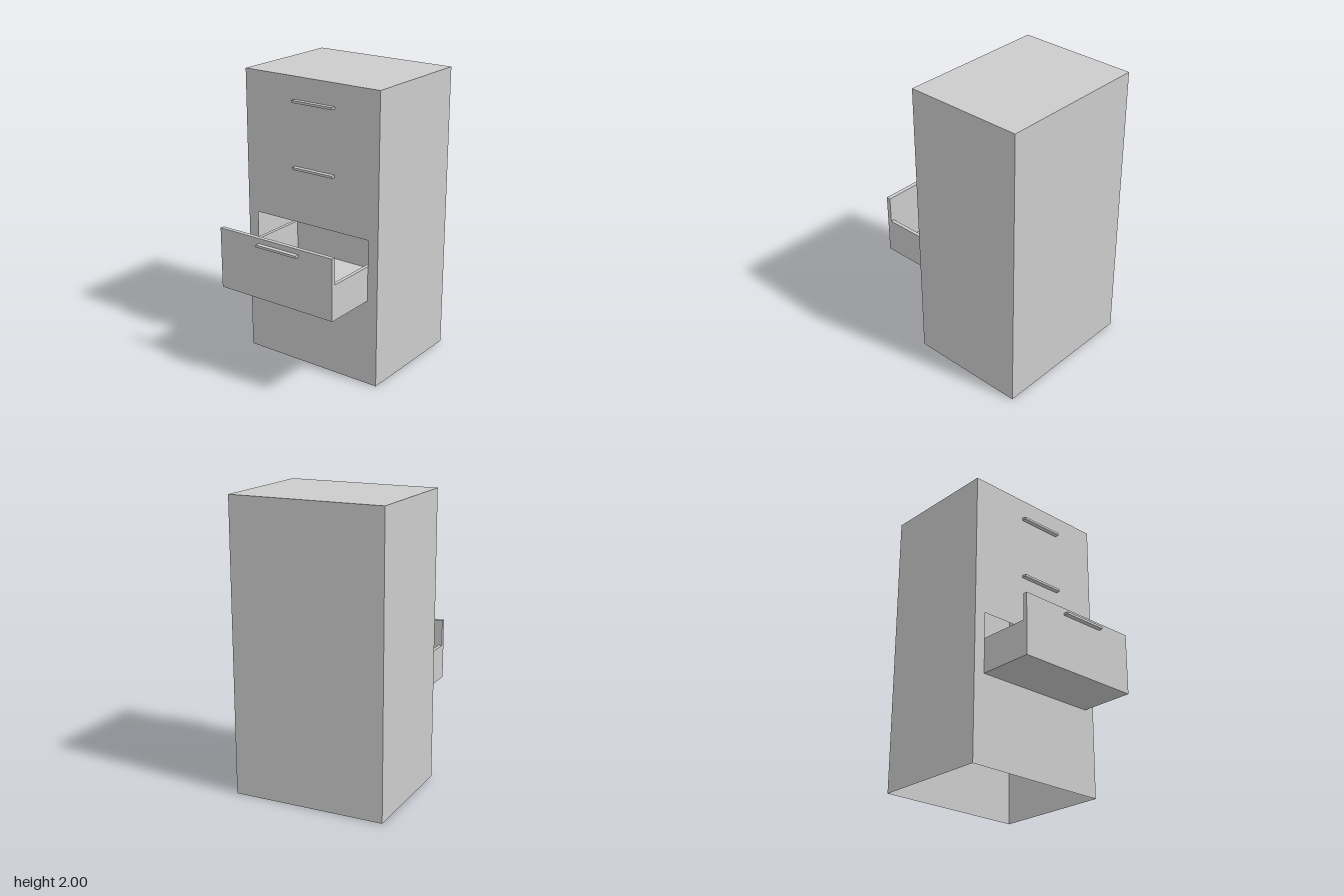
import * as THREE from 'three';

const material = new THREE.MeshStandardMaterial({ color: 0xcccccc, side: THREE.DoubleSide });

// Cabinet and drawer extents
const W = 1.06, H = 2, BACK = -0.62, FRONT = 0.21;
const D = { x0: -0.45, x1: 0.455, y0: 0.6, y1: 1.02, rim: 0.84, back: -0.21, front: 0.594, t: 0.025 };

function add(parent, name, geometry) {
  const mesh = new THREE.Mesh(geometry, material);
  mesh.name = name;
  parent.add(mesh);
  return mesh;
}

// Box given by its lowest and highest corners
function block(parent, name, [x0, y0, z0], [x1, y1, z1]) {
  const mesh = add(parent, name, new THREE.BoxGeometry(x1 - x0, y1 - y0, z1 - z0));
  mesh.position.set((x0 + x1) / 2, (y0 + y1) / 2, (z0 + z1) / 2);
  return mesh;
}

function rectangle(PathClass, x0, y0, x1, y1) {
  return new PathClass([[x0, y0], [x1, y0], [x1, y1], [x0, y1]].map(([x, y]) => new THREE.Vector2(x, y)));
}

function handle(parent, y, z) {
  block(parent, 'handle', [-0.125, y - 0.008, z + 0.005], [0.195, y + 0.008, z + 0.037]);
}

export function createModel() {
  const model = new THREE.Group();
  model.name = 'filingCabinet';

  // Sheet-metal shell, open underneath
  const shell = new THREE.Group();
  shell.name = 'shell';
  model.add(shell);
  const depth = FRONT - BACK, midZ = (FRONT + BACK) / 2;
  for (const side of [-1, 1]) {
    const wall = add(shell, 'sideWall', new THREE.PlaneGeometry(depth, H));
    wall.rotation.y = side * Math.PI / 2;
    wall.position.set(side * W / 2, H / 2, midZ);
  }
  const back = add(shell, 'backWall', new THREE.PlaneGeometry(W, H));
  back.rotation.y = Math.PI;
  back.position.set(0, H / 2, BACK);
  const top = add(shell, 'topPanel', new THREE.PlaneGeometry(W, depth));
  top.rotation.x = -Math.PI / 2;
  top.position.set(0, H, midZ);

  // Front panel with the opening for the pulled-out drawer
  const face = rectangle(THREE.Shape, -W / 2, 0, W / 2, H);
  face.holes.push(rectangle(THREE.Path, D.x0, D.y0, D.x1, D.y1));
  add(shell, 'frontPanel', new THREE.ShapeGeometry(face)).position.z = FRONT;
  for (const y of [1.843, 1.398]) handle(model, y, FRONT);

  // Pulled-out drawer: tall front, lower sides and back, floor
  const drawer = new THREE.Group();
  drawer.name = 'drawer';
  model.add(drawer);
  const inner = D.front - 0.03;
  block(drawer, 'drawerFront', [D.x0, D.y0, inner], [D.x1, D.y1, D.front]);
  block(drawer, 'drawerSide', [D.x0, D.y0, D.back], [D.x0 + D.t, D.rim, inner]);
  block(drawer, 'drawerSide', [D.x1 - D.t, D.y0, D.back], [D.x1, D.rim, inner]);
  block(drawer, 'drawerBack', [D.x0 + D.t, D.y0, D.back], [D.x1 - D.t, D.rim, D.back + D.t]);
  block(drawer, 'drawerFloor', [D.x0 + D.t, D.y0, D.back + D.t], [D.x1 - D.t, D.y0 + 0.03, inner]);
  handle(drawer, 0.978, D.front - 0.005);

  return model;
}
